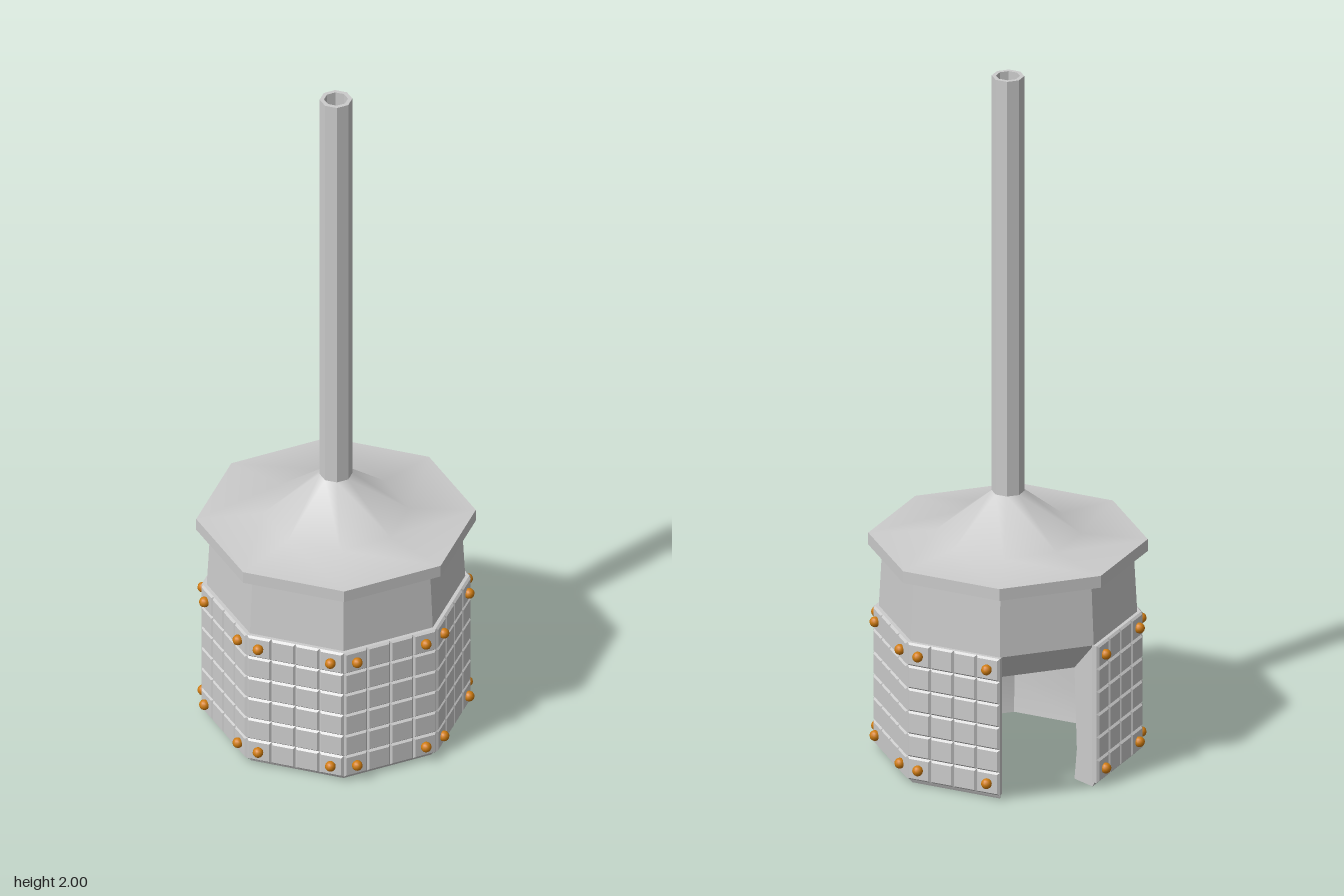
import * as THREE from 'three';
import { toCreasedNormals } from 'three/addons/utils/BufferGeometryUtils.js';

const SIDES = 8, STEP = Math.PI / 4;
const OPEN = 5;                       // index of the open side
const grey = new THREE.MeshStandardMaterial({ color: 0xcccccc });
const thin = new THREE.MeshStandardMaterial({ color: 0xcccccc, side: THREE.DoubleSide });
const orange = new THREE.MeshStandardMaterial({ color: 0xd07c10 });

// Octagonal shell from a [radius, height] profile, over some of the eight sides
function shell(name, profile, first = 0, count = SIDES) {
  const pts = profile.map(([r, y]) => new THREE.Vector2(r, y));
  const geo = new THREE.LatheGeometry(pts, count, first * STEP, count * STEP);
  const mesh = new THREE.Mesh(toCreasedNormals(geo, 0.7), grey);
  mesh.name = name;
  return mesh;
}

export function createModel() {
  const model = new THREE.Group();
  model.name = 'stove';

  // Firebox walls, leaving one side open
  const inner = [[0.275, 0.33], [0.285, 0.09], [0.275, 0]];
  const outer = [[0.35, 0], [0.362, 0.02], [0.355, 0.42]];
  model.add(shell('fireboxInnerWall', inner, OPEN + 1, SIDES - 1));
  model.add(shell('fireboxOuterWall', outer, OPEN + 1, SIDES - 1));
  model.add(shell('baseRing', [[0.275, 0], [0.35, 0]]));
  model.add(shell('openingHeader', [[0.275, 0.33], [0.355, 0.42]], OPEN, 1));

  // Wall ends on both sides of the opening
  const section = new THREE.Shape([...inner, ...outer].map(([r, y]) => new THREE.Vector2(r, y)));
  for (const i of [OPEN, OPEN + 1]) {
    const jamb = new THREE.Mesh(new THREE.ShapeGeometry(section), thin);
    jamb.rotation.y = i * STEP - Math.PI / 2;
    jamb.name = 'openingJamb';
    model.add(jamb);
  }

  // Upper wall, lid, cone and chimney
  model.add(shell('upperWall', [[0.355, 0.42], [0.345, 0.605]]));
  model.add(shell('lid', [[0.34, 0.6], [0.384, 0.6], [0.384, 0.635], [0.2, 0.648], [0.045, 0.77]]));
  model.add(shell('chimney', [[0.045, 0.765], [0.045, 2], [0.033, 2], [0.033, 0.75]]));
  model.add(shell('flueLining', [[0.033, 0.75], [0.27, 0.55], [0.275, 0.33]]));

  // Bevelled tile, facing +z
  const cols = 4, rows = 6, w = 0.07, h = 0.0675, y0 = 0.015;
  const tileGeo = new THREE.BoxGeometry(w, h, 0.02, 1, 1, 2);
  const p = tileGeo.attributes.position;
  for (let i = 0; i < p.count; i++) {
    if (p.getZ(i) > 0.005) p.setXY(i, p.getX(i) * 0.84, p.getY(i) * 0.84);
    else if (p.getZ(i) > -0.005) p.setZ(i, 0.004);
  }
  const tile = toCreasedNormals(tileGeo, 0.3);
  const stud = new THREE.SphereGeometry(0.015, 12, 8);

  // Tiled panels with a stud on each corner tile
  for (let s = 0; s < SIDES; s++) {
    if (s === OPEN) continue;
    const panel = new THREE.Group();
    panel.name = 'tiledPanel';
    panel.rotation.y = (s + 0.5) * STEP;
    for (let c = 0; c < cols; c++) {
      for (let r = 0; r < rows; r++) {
        const x = (c - (cols - 1) / 2) * w, y = y0 + (r + 0.5) * h;
        const t = new THREE.Mesh(tile, grey);
        t.name = 'tile';
        t.position.set(x, y, 0.334);
        panel.add(t);
        if (c % (cols - 1) === 0 && r % (rows - 1) === 0) {
          const b = new THREE.Mesh(stud, orange);
          b.name = 'stud';
          b.position.set(x, y, 0.35);
          panel.add(b);
        }
      }
    }
    model.add(panel);
  }
  return model;
}
